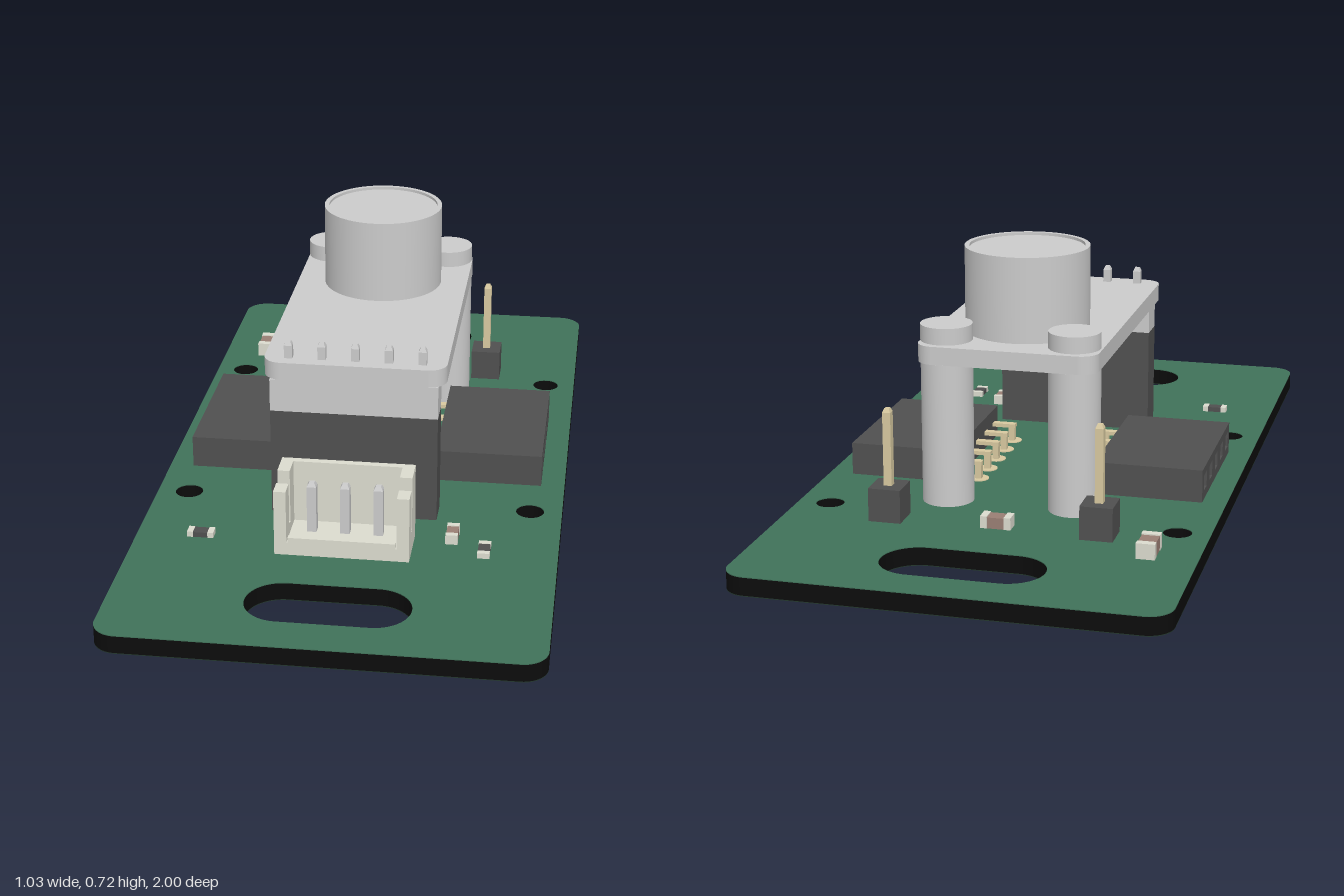
import * as THREE from 'three';

const mat = (color) => new THREE.MeshStandardMaterial({ color });
const grey = mat(0xcccccc), dark = mat(0x505050), black = mat(0x0c0c0c), gold = mat(0xd8c9a0);
const cream = mat(0xdcdccf), topGreen = mat(0x407259), lowGreen = mat(0x24382e), brown = mat(0x9a7f74);
const BASE = 0.107; // upper face of the board

function add(parent, name, geo, material, x = 0, y = 0, z = 0) {
  const m = new THREE.Mesh(geo, material);
  m.name = name;
  m.position.set(x, y, z);
  parent.add(m);
  return m;
}

// box given by its extents on each axis
function box(parent, name, material, x0, x1, y0, y1, z0, z1) {
  return add(parent, name, new THREE.BoxGeometry(x1 - x0, y1 - y0, z1 - z0), material,
    (x0 + x1) / 2, (y0 + y1) / 2, (z0 + z1) / 2);
}

function cyl(parent, name, material, r, x, y0, y1, z, sides = 40) {
  return add(parent, name, new THREE.CylinderGeometry(r, r, y1 - y0, sides), material, x, (y0 + y1) / 2, z);
}

// square pin with chamfered tips
function pin(parent, material, x, y0, y1, z, w = 0.02) {
  const pts = [[0, y0], [w * 0.35, y0], [w * 0.707, y0 + 0.015], [w * 0.707, y1 - 0.01], [w * 0.4, y1], [0, y1]];
  const geo = new THREE.LatheGeometry(pts.map((p) => new THREE.Vector2(...p)), 4, Math.PI / 4).toNonIndexed();
  geo.computeVertexNormals();
  add(parent, 'pin', geo, material, x, 0, z);
}

// solder rings on both faces of the board
function pad(parent, x, z, r = 0.026) {
  for (const y of [0.0585, BASE + 0.0005]) {
    add(parent, 'solderPad', new THREE.CylinderGeometry(r, r, 0.003, 20), gold, x, y, z);
  }
}

function roundedRect(x0, x1, y0, y1, r, Type = THREE.Shape) {
  const s = new Type();
  s.absarc(x1 - r, y1 - r, r, 0, Math.PI / 2);
  s.absarc(x0 + r, y1 - r, r, Math.PI / 2, Math.PI);
  s.absarc(x0 + r, y0 + r, r, Math.PI, Math.PI * 1.5);
  s.absarc(x1 - r, y0 + r, r, Math.PI * 1.5, Math.PI * 2);
  s.closePath();
  return s;
}

// horizontal slab from a shape drawn in x and -z
function slab(parent, name, shape, material, y0, y1) {
  const geo = new THREE.ExtrudeGeometry(shape, { depth: y1 - y0, bevelEnabled: false, curveSegments: 16 });
  return add(parent, name, geo.rotateX(-Math.PI / 2), material, 0, y0, 0);
}

function buildBoard(parent) {
  const s = roundedRect(-0.515, 0.515, -1, 1, 0.06);
  for (const y of [0.81, -0.805]) s.holes.push(roundedRect(-0.195, 0.195, y - 0.088, y + 0.088, 0.087, THREE.Path));
  for (const x of [-0.435, 0.435]) {
    for (const y of [0.487, -0.288]) s.holes.push(new THREE.Path().absarc(x, y, 0.035, 0, Math.PI * 2));
  }
  slab(parent, 'boardUnderside', s, lowGreen, 0.06, 0.062);
  slab(parent, 'boardCore', s, black, 0.062, 0.105);
  slab(parent, 'boardTop', s, topGreen, 0.105, BASE);
}

// sideways socket strip: five square openings facing outward, bent leads inward
function buildSideSocket(parent, side) {
  const g = new THREE.Group();
  g.name = side > 0 ? 'leftSocket' : 'rightSocket';
  const s = new THREE.Shape([[-0.145, BASE], [0.265, BASE], [0.265, 0.19], [-0.145, 0.19]].map((p) => new THREE.Vector2(...p)));
  const centres = [-0.105, -0.0235, 0.058, 0.1395, 0.221]; // measured along -z
  for (const c of centres) {
    s.holes.push(new THREE.Path([[-1, -1], [-1, 1], [1, 1], [1, -1]].map(([a, b]) => new THREE.Vector2(c + a * 0.02, 0.15 + b * 0.02))));
  }
  const geo = new THREE.ExtrudeGeometry(s, { depth: 0.12, bevelEnabled: false });
  const shell = add(g, 'socketMouth', geo.rotateY(Math.PI / 2), dark, side > 0 ? 0.335 : -0.455);
  shell.castShadow = true;
  const [a, b] = side > 0 ? [0.182, 0.335] : [-0.335, -0.182];
  box(g, 'socketBody', dark, a, b, BASE, 0.19, -0.265, 0.145);
  for (const c of centres) {
    pad(g, side * 0.13, -c);
    box(g, 'socketLead', gold, Math.min(side * 0.12, side * 0.19), Math.max(side * 0.12, side * 0.19), 0.145, 0.155, -c - 0.01, -c + 0.01);
    pin(g, gold, side * 0.13, 0.003, 0.155, -c, 0.016);
  }
  parent.add(g);
}

// raised module: plate, capsule, legs, header
function buildModule(parent) {
  const g = new THREE.Group();
  g.name = 'raisedModule';
  slab(g, 'modulePlate', roundedRect(-0.225, 0.225, -0.365, 0.45, 0.045), grey, 0.467, 0.512);

  const profile = [[0, 0.512], [0.155, 0.512], [0.155, 0.512], [0.155, 0.725], [0.155, 0.725], [0.143, 0.725],
    [0.143, 0.725], [0.143, 0.718], [0.143, 0.718], [0, 0.718]].map((p) => new THREE.Vector2(...p));
  add(g, 'capsule', new THREE.LatheGeometry(profile, 64), grey, 0, 0, -0.22);

  for (const x of [-0.16, 0.16]) {
    cyl(g, 'legPost', grey, 0.064, x, BASE, 0.467, -0.387);
    cyl(g, 'legPeg', grey, 0.032, x, 0.013, BASE, -0.387, 24);
    cyl(g, 'legCap', grey, 0.064, x, 0.517, 0.558, -0.387);
    cyl(g, 'legNeck', grey, 0.03, x, 0.505, 0.52, -0.387, 24);
  }
  box(g, 'headerSocket', dark, -0.207, 0.207, BASE, 0.383, 0.285, 0.365);
  box(g, 'headerBlock', grey, -0.207, 0.207, 0.383, 0.467, 0.285, 0.365);
  for (let i = -2; i <= 2; i++) {
    const x = i * 0.0825;
    pin(g, grey, x, 0.46, 0.555, 0.325);
    box(g, 'headerLead', gold, x - 0.01, x + 0.01, 0.012, BASE, 0.321, 0.329);
    pad(g, x, 0.325);
  }
  // small chips below the plate: x, z, width, depth, height
  for (const [x, z, w, d, h] of [[-0.1, 0.2, 0.07, 0.04, 0.04], [0.1, 0.2, 0.07, 0.04, 0.04], [0, 0.14, 0.08, 0.055, 0.04],
    [-0.1, 0.02, 0.07, 0.04, 0.04], [0.1, 0.02, 0.07, 0.04, 0.04], [0.05, -0.05, 0.08, 0.045, 0.03], [0, -0.165, 0.12, 0.09, 0.042]]) {
    box(g, 'plateChip', grey, x - w / 2, x + w / 2, 0.467 - h, 0.467, z - d / 2, z + d / 2);
  }
  parent.add(g);
}

// open-topped three-pin plug housing
function buildPlug(parent) {
  const g = new THREE.Group();
  g.name = 'plugHousing';
  box(g, 'plugFloor', cream, -0.163, 0.163, BASE, 0.14, 0.45, 0.585);
  box(g, 'plugBackWall', cream, -0.163, 0.163, 0.14, 0.3, 0.45, 0.468);
  box(g, 'plugFrontSill', cream, -0.13, 0.13, 0.14, 0.153, 0.57, 0.585);
  for (const s of [-1, 1]) {
    const [a, b] = s > 0 ? [0.133, 0.163] : [-0.163, -0.133];
    box(g, 'plugSideWall', cream, a, b, 0.14, 0.3, 0.468, 0.522);
    box(g, 'plugSideBridge', cream, a, b, 0.14, 0.165, 0.522, 0.54);
    box(g, 'plugFrontCorner', cream, a, b, 0.14, 0.275, 0.54, 0.585);
  }
  for (const x of [-0.081, 0, 0.081]) {
    pin(g, grey, x, 0.006, 0.27, 0.512, 0.023);
    pad(g, x, 0.512, 0.03);
  }
  parent.add(g);
}

// small surface parts: body with a metal end on each side, along x or z
function buildSmallPart(parent, x, z, length, width, height, alongZ, body) {
  const g = new THREE.Group();
  g.name = 'smallPart';
  const l = length / 2, w = width / 2, e = l * 0.55;
  box(g, 'smallPartBody', body, -e, e, 0, height * 0.92, -w * 0.95, w * 0.95);
  for (const s of [-1, 1]) {
    box(g, 'smallPartEnd', cream, Math.min(s * e, s * l), Math.max(s * e, s * l), 0, height, -w, w);
  }
  g.position.set(x, BASE, z);
  if (alongZ) g.rotation.y = Math.PI / 2;
  parent.add(g);
}

export function createModel() {
  const model = new THREE.Group();
  model.name = 'sensorBoard';
  buildBoard(model);
  for (const side of [-1, 1]) {
    buildSideSocket(model, side);
    // upright single pins at the back
    const x = side * 0.26;
    box(model, 'pinBase', dark, x - 0.04, x + 0.04, BASE, 0.19, -0.59, -0.51);
    pin(model, gold, x, 0.013, 0.383, -0.55);
    pad(model, x, -0.55);
  }
  buildModule(model);
  buildPlug(model);
  buildSmallPart(model, -0.395, -0.635, 0.085, 0.045, 0.038, true, brown);
  buildSmallPart(model, -0.01, -0.55, 0.075, 0.04, 0.03, false, brown);
  buildSmallPart(model, 0.255, 0.452, 0.065, 0.03, 0.025, true, brown);
  buildSmallPart(model, 0.337, 0.512, 0.065, 0.03, 0.014, true, dark);
  buildSmallPart(model, -0.357, 0.512, 0.065, 0.03, 0.014, false, dark);
  return model;
}
